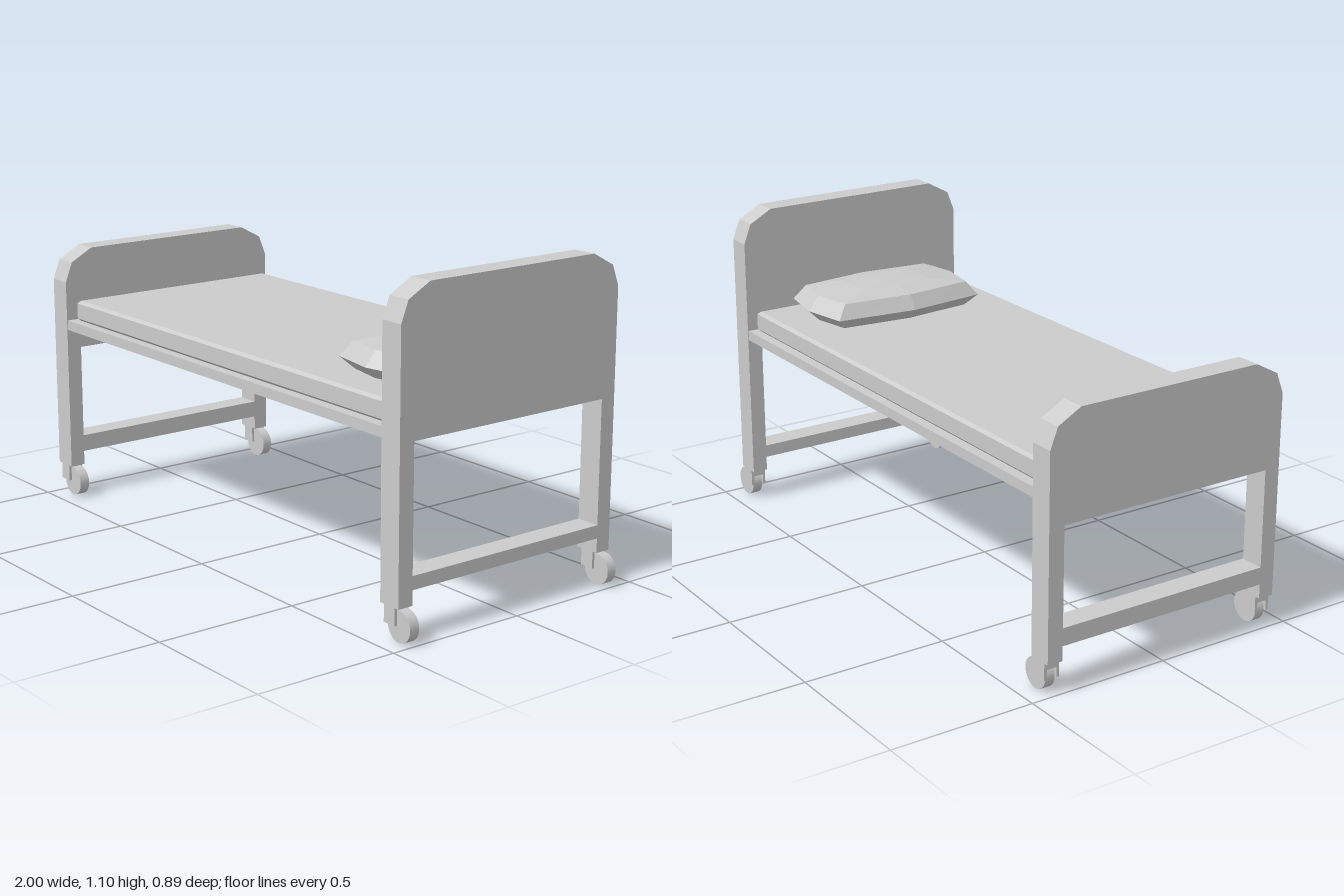
import * as THREE from 'three';

const material = new THREE.MeshStandardMaterial({ color: 0xcccccc, flatShading: true });
const smooth = new THREE.MeshStandardMaterial({ color: 0xcccccc });

function add(parent, name, geometry, x = 0, y = 0, z = 0, mat = material) {
  const mesh = new THREE.Mesh(geometry, mat);
  mesh.name = name;
  mesh.position.set(x, y, z);
  parent.add(mesh);
  return mesh;
}

const path = (points, Type) => new Type(points.map(([a, b]) => new THREE.Vector2(a, b)));

// End board: chamfered panel, two legs and a crossbar cut from one outline
function endBoard(top, panelBottom, barTop) {
  const w = 0.445, leg = 0.39, foot = 0.11, barBottom = 0.16, d = 0.085;
  const half = [[leg, barBottom], [leg, foot], [w, foot], [w, top - 0.115], [0.418, top - 0.045], [0.335, top]];
  const mirrored = half.map(([z, y]) => [-z, y]).reverse();
  const shape = path([...half, ...mirrored], THREE.Shape);
  shape.holes.push(path([[-leg, barTop], [-leg, panelBottom], [leg, panelBottom], [leg, barTop]], THREE.Path));
  const geometry = new THREE.ExtrudeGeometry(shape, { depth: d, bevelEnabled: false });
  return geometry.translate(0, 0, -d / 2).rotateY(Math.PI / 2);
}

// Caster: fork with two cheeks and a trailing wheel
function caster(x, z) {
  const group = new THREE.Group();
  group.name = 'caster';
  group.position.set(x, 0, z);
  add(group, 'forkTop', new THREE.BoxGeometry(0.05, 0.025, 0.055), 0, 0.0985, 0);
  for (const s of [-1, 1]) {
    add(group, 'forkCheek', new THREE.BoxGeometry(0.05, 0.05, 0.0095), 0, 0.077, s * 0.0227);
  }
  const wheel = new THREE.CylinderGeometry(0.052, 0.052, 0.036, 24).rotateX(Math.PI / 2);
  add(group, 'wheel', wheel, 0.035, 0.052, 0, smooth);
  return group;
}

// Pillow: eight-sided rings stacked from the underside to the crown
function pillowGeometry() {
  const outline = [[-0.198, 0], [-0.165, 0.29], [0, 0.32], [0.165, 0.29], [0.198, 0], [0.165, -0.29], [0, -0.32], [-0.165, -0.29]];
  const rings = [[0, 0, 0], [0.8, 0.87, 0], [1, 1, 0.04], [0.85, 0.87, 0.09], [0.45, 0.45, 0.106], [0, 0, 0.109]];
  const n = outline.length, positions = [], index = [];
  rings.forEach(([sx, sz, y]) => outline.forEach(([x, z]) => positions.push(x * sx, y, z * sz)));
  for (let r = 0; r < rings.length - 1; r++) {
    for (let i = 0; i < n; i++) {
      const a = r * n + i, b = r * n + (i + 1) % n;
      if (r > 0) index.push(a, b, b + n);
      else index.push(a, b + n, a + n);
      if (r > 0 && r < rings.length - 2) index.push(a, b + n, a + n);
    }
  }
  const geometry = new THREE.BufferGeometry();
  geometry.setAttribute('position', new THREE.Float32BufferAttribute(positions, 3));
  geometry.setIndex(index);
  geometry.computeVertexNormals();
  return geometry;
}

// Mattress: slab with a small chamfer around its top edge
function mattressGeometry() {
  const x = 0.87, z = 0.415, c = 0.01;
  const shape = path([[-x + c, -z + c], [x - c, -z + c], [x - c, z - c], [-x + c, z - c]], THREE.Shape);
  const geometry = new THREE.ExtrudeGeometry(shape, {
    depth: 0.055, bevelEnabled: true, bevelThickness: c, bevelSize: c, bevelSegments: 1,
  });
  return geometry.rotateX(-Math.PI / 2).translate(0, c, 0);
}

export function createModel() {
  const bed = new THREE.Group();
  bed.name = 'hospitalBed';
  const headX = 0.9125, footX = -0.9575;

  add(bed, 'headboard', endBoard(1.1, 0.625, 0.205), headX);
  add(bed, 'footboard', endBoard(0.917, 0.555, 0.22), footX);

  // Sleeping surface
  add(bed, 'deck', new THREE.BoxGeometry(1.785, 0.035, 0.885), -0.0225, 0.6435, 0);
  add(bed, 'mattress', mattressGeometry(), -0.02, 0.66, 0);
  add(bed, 'pillow', pillowGeometry(), 0.638, 0.735, 0);

  // One caster under each leg
  for (const x of [headX, footX]) {
    for (const s of [-1, 1]) bed.add(caster(x, s * 0.4175));
  }
  return bed;
}
